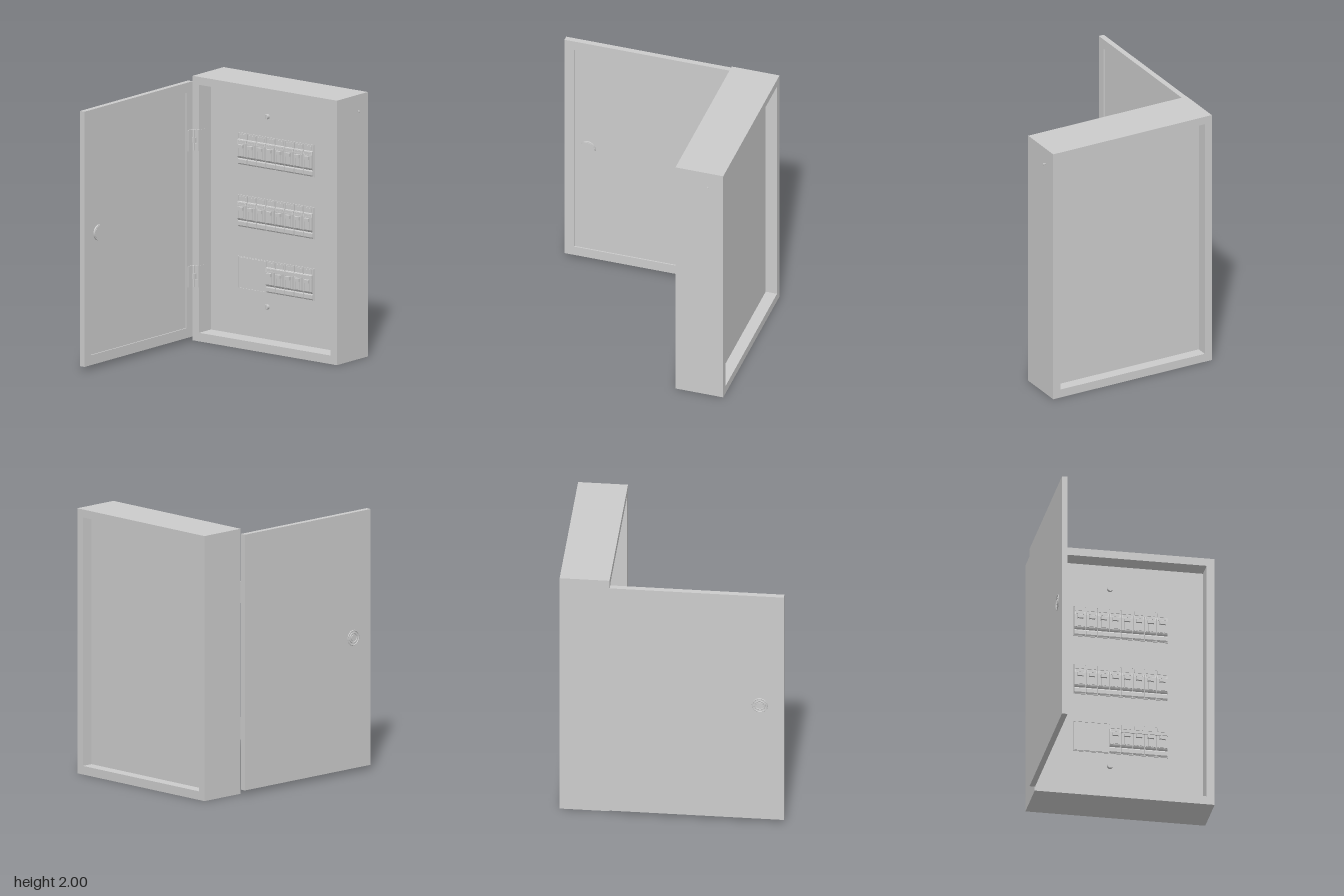
import * as THREE from 'three';

const grey = new THREE.MeshStandardMaterial({ color: 0xcccccc, flatShading: true });
const smooth = new THREE.MeshStandardMaterial({ color: 0xcccccc });

export function createModel() {
  const root = new THREE.Group();
  root.name = 'openDistributionCabinet';

  const add = (parent, name, geometry, material = grey) => {
    const mesh = new THREE.Mesh(geometry, material);
    mesh.name = name;
    parent.add(mesh);
    return mesh;
  };
  const group = (parent, name, x = 0, y = 0, z = 0) => {
    const g = new THREE.Group();
    g.name = name;
    g.position.set(x, y, z);
    parent.add(g);
    return g;
  };
  // Box given by its limits on each axis
  const box = (parent, name, x0, x1, y0, y1, z0, z1) =>
    add(parent, name, new THREE.BoxGeometry(x1 - x0, y1 - y0, z1 - z0))
      .position.set((x0 + x1) / 2, (y0 + y1) / 2, (z0 + z1) / 2);
  const loop = (path, x0, x1, y0, y1) =>
    path.moveTo(x0, y0).lineTo(x1, y0).lineTo(x1, y1).lineTo(x0, y1).closePath();
  // Rectangular frame extruded along z
  const frame = (outer, inner, depth) => {
    const shape = loop(new THREE.Shape(), ...outer);
    shape.holes.push(loop(new THREE.Path(), ...inner));
    return new THREE.ExtrudeGeometry(shape, { depth, bevelEnabled: false });
  };
  // Round part whose axis runs along x or z
  const disc = (parent, name, r, length, axis, x, y, z, sides = 32) => {
    const g = new THREE.CylinderGeometry(r, r, length, sides);
    if (axis === 'x') g.rotateZ(Math.PI / 2);
    else g.rotateX(Math.PI / 2);
    add(parent, name, g, smooth).position.set(x, y, z);
  };

  // Cabinet shell, recessed on both the front and the back
  const cabinet = group(root, 'cabinet');
  add(cabinet, 'shell', frame([-0.665, 0.685, 0, 2], [-0.605, 0.625, 0.065, 1.94], 0.37))
    .position.z = -0.833;
  const panelZ = -0.605;
  box(cabinet, 'mountingPanel', -0.61, 0.63, 0.06, 1.945, -0.745, panelZ);

  // Panel screws
  for (const y of [0.31, 1.75]) {
    disc(cabinet, 'panelScrew', 0.02, 0.03, 'z', -0.075, y, panelZ + 0.01, 16);
    box(cabinet, 'screwRidge', -0.079, -0.071, y - 0.015, y + 0.015, panelZ + 0.02, panelZ + 0.029);
  }
  // Earthing stud on the side wall
  disc(cabinet, 'earthStud', 0.005, 0.02, 'x', 0.69, 1.875, -0.715, 10);
  disc(cabinet, 'earthNut', 0.01, 0.006, 'x', 0.7, 1.875, -0.715, 6);

  // Circuit breakers: stepped side profile (z, y), swept across the width
  const pitch = 0.088, rowHeight = 0.235, rowLeft = -0.345;
  const profile = new THREE.Shape([
    [-0.02, 0], [0.008, 0], [0.014, 0.01], [0.014, 0.038], [0.008, 0.048], [0.016, 0.055],
    [0.022, 0.065], [0.022, 0.165], [0.018, 0.188], [0.008, 0.192], [0.008, 0.235], [-0.02, 0.235],
  ].map(([z, y]) => new THREE.Vector2(z, y)));
  const bodyGeometry = new THREE.ExtrudeGeometry(profile, { depth: pitch - 0.006, bevelEnabled: false });
  bodyGeometry.rotateY(-Math.PI / 2).translate(pitch - 0.003, 0, 0);

  const breaker = (parent, x) => {
    const b = group(parent, 'breaker', x, 0, 0);
    add(b, 'breakerBody', bodyGeometry);
    // Cheeks beside the switch
    for (const x0 of [0.008, 0.068]) box(b, 'switchCheek', x0, x0 + 0.012, 0.065, 0.16, 0.015, 0.027);
    box(b, 'switchBase', 0.026, 0.062, 0.07, 0.13, 0.015, 0.028);
    box(b, 'switchLever', 0.022, 0.066, 0.13, 0.155, 0.015, 0.045);
    box(b, 'labelStrip', 0.012, 0.076, 0.168, 0.184, 0.012, 0.023);
    box(b, 'terminalCover', 0.012, 0.076, 0.2, 0.228, 0, 0.013);
  };

  [[1.355, 0], [0.885, 0], [0.42, 3]].forEach(([y, first]) => {
    const row = group(root, 'breakerRow', rowLeft, y, panelZ);
    const width = pitch * 8;
    add(row, 'windowRim', frame([-0.004, width + 0.004, -0.004, rowHeight + 0.004],
      [0, width, 0, rowHeight], 0.006));
    for (let i = first; i < 8; i++) breaker(row, i * pitch);
    if (first) {
      box(row, 'blankCover', 0.004, first * pitch - 0.004, 0.003, rowHeight - 0.003, -0.01, 0.008);
      box(row, 'linkBar', (first + 1) * pitch, width, 0.165, 0.187, 0.01, 0.03);
    }
  });

  // Door, swung open by a quarter turn
  const door = group(root, 'door');
  const y0 = 0.03, y1 = 1.96, z0 = -0.458, z1 = 0.833;
  box(door, 'doorSkin', -0.705, -0.673, y0, y1, z0, z1);
  const rim = frame([-z1, -z0, y0, y1], [-0.76, 0.385, 0.105, 1.885], 0.01);
  rim.rotateY(Math.PI / 2);
  add(door, 'doorRim', rim).position.x = -0.673;

  // Lock: inner knob, outer rings and key slot
  const lock = group(door, 'lock', 0, 1.015, 0.655);
  disc(lock, 'innerKnob', 0.06, 0.012, 'x', -0.667, 0, 0, 40);
  disc(lock, 'innerKnobCap', 0.054, 0.004, 'x', -0.66, 0, 0, 40);
  for (const r of [0.055, 0.036]) {
    const ring = add(lock, 'outerRing', new THREE.TorusGeometry(r, 0.005, 8, 36), smooth);
    ring.rotation.y = Math.PI / 2;
    ring.position.x = -0.705;
  }
  disc(lock, 'keyBarrel', 0.024, 0.008, 'x', -0.706, 0, 0, 24);
  box(lock, 'keySlot', -0.712, -0.706, -0.016, 0.016, -0.004, 0.004);

  // Hinges between door rim and cabinet lip
  for (const y of [0.49, 1.52]) {
    const hinge = group(root, 'hinge', 0, y, 0);
    box(hinge, 'doorLeaf', -0.664, -0.655, -0.08, 0.08, -0.458, -0.4);
    box(hinge, 'cabinetLeaf', -0.655, -0.607, -0.08, -0.025, -0.466, -0.454);
    box(hinge, 'cabinetLeaf', -0.655, -0.607, 0.025, 0.08, -0.466, -0.454);
    box(hinge, 'returnLeaf', -0.612, -0.603, -0.08, 0.08, -0.54, -0.454);
    box(hinge, 'middleArm', -0.655, -0.63, -0.02, 0.02, -0.462, -0.442);
    add(hinge, 'hingePin', new THREE.CylinderGeometry(0.01, 0.01, 0.16, 16), smooth)
      .position.set(-0.648, 0, -0.452);
  }

  return root;
}
